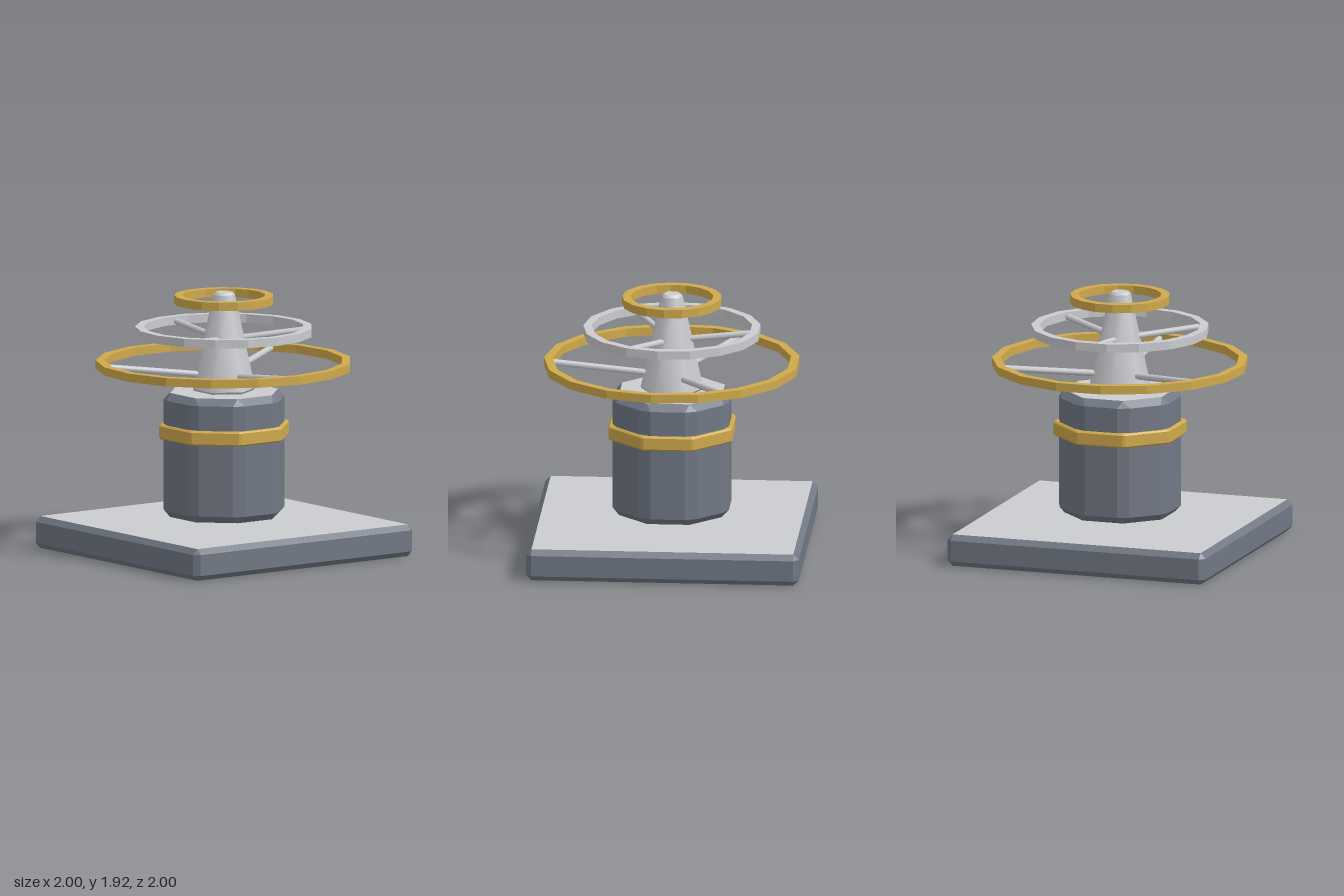
import * as THREE from 'three';
import { ConvexGeometry } from 'three/addons/geometries/ConvexGeometry.js';

const paint = (name, color) => {
  const m = new THREE.MeshStandardMaterial({ color });
  m.name = name;
  return m;
};

// Regular prism with every edge chamfered; group 0 is the sides, group 1 the flat caps
function bevelledPrism(sides, apothem, y0, y1, bevel) {
  const points = [];
  const half = apothem * Math.tan(Math.PI / sides) - bevel;
  const capRadius = (apothem - bevel) / Math.cos(Math.PI / sides);
  for (let i = 0; i < sides; i++) {
    const a = (i / sides) * Math.PI * 2;
    for (const [edgeY, capY] of [[y0 + bevel, y0], [y1 - bevel, y1]]) {
      for (const s of [-half, half]) {
        points.push(new THREE.Vector3(
          apothem * Math.cos(a) - s * Math.sin(a), edgeY,
          apothem * Math.sin(a) + s * Math.cos(a)));
      }
      const c = a + Math.PI / sides;
      points.push(new THREE.Vector3(capRadius * Math.cos(c), capY, capRadius * Math.sin(c)));
    }
  }
  const geometry = new ConvexGeometry(points);
  const normals = geometry.getAttribute('normal');
  for (let v = 0; v < normals.count; v += 3) {
    geometry.addGroup(v, 3, Math.abs(normals.getY(v)) > 0.99 ? 1 : 0);
  }
  return geometry;
}

// Flat faceted hoop with a square section
function hoop(radius, y0, y1, width = 0.062, sides = 17) {
  const polygon = (r) => Array.from({ length: sides }, (_, i) => {
    const a = (i / sides) * Math.PI * 2;
    return new THREE.Vector2(r * Math.cos(a), r * Math.sin(a));
  });
  const shape = new THREE.Shape(polygon(radius));
  shape.holes.push(new THREE.Path(polygon(radius - width)));
  return new THREE.ExtrudeGeometry(shape, { depth: y1 - y0, bevelEnabled: false })
    .rotateX(-Math.PI / 2).translate(0, y0, 0);
}

// Round bar between two points
function bar(from, to, radius) {
  const dir = to.clone().sub(from);
  const geometry = new THREE.CylinderGeometry(radius, radius, dir.length(), 8);
  geometry.applyQuaternion(new THREE.Quaternion().setFromUnitVectors(
    new THREE.Vector3(0, 1, 0), dir.normalize()));
  const mid = from.clone().add(to).multiplyScalar(0.5);
  return geometry.translate(mid.x, mid.y, mid.z);
}

export function createModel() {
  const silver = paint('silver', 0xcbccd0);
  const slate = paint('slate', 0x727985);
  const gold = paint('gold', 0xd0aa4c);

  const model = new THREE.Group();
  model.name = 'ringedSpire';
  const add = (name, geometry, material, parent = model) => {
    const mesh = new THREE.Mesh(geometry, material);
    mesh.name = name;
    parent.add(mesh);
  };

  // Plinth, drum and collar
  add('base', bevelledPrism(4, 1, 0, 0.235, 0.04), [slate, silver]);
  add('drum', bevelledPrism(8, 0.427, 0.275, 1.193, 0.05), [slate, silver]);
  add('collar', bevelledPrism(8, 0.454, 0.853, 0.96, 0.012), [gold, gold]);

  // Six-sided tapering spire with small chamfers at both ends
  const spire = new THREE.Group();
  spire.name = 'spire';
  model.add(spire);
  const tier = (name, rBottom, rTop, y0, y1, open) => add(name,
    new THREE.CylinderGeometry(rTop, rBottom, y1 - y0, 6, 1, open)
      .rotateY(Math.PI / 2).translate(0, (y0 + y1) / 2, 0), silver, spire);
  tier('spireFoot', 0.218, 0.23, 1.195, 1.21, false);
  tier('spireBody', 0.23, 0.08, 1.21, 1.907, true);
  tier('spireTip', 0.08, 0.064, 1.907, 1.925, false);

  // Hoops
  add('lowerRing', hoop(0.938, 1.358, 1.42), gold);
  add('middleRing', hoop(0.651, 1.608, 1.67), silver);
  add('upperRing', hoop(0.365, 1.84, 1.902), gold);

  // Three spokes for each of the two larger hoops
  const spokes = [
    { name: 'lowerSpoke', turn: 0, r0: 0.185, y0: 1.32, r1: 0.9, y1: 1.387 },
    { name: 'middleSpoke', turn: Math.PI / 3, r0: 0.13, y0: 1.585, r1: 0.61, y1: 1.637 },
  ];
  for (const { name, turn, r0, y0, r1, y1 } of spokes) {
    for (let i = 0; i < 3; i++) {
      const a = turn + (i * Math.PI * 2) / 3;
      const at = (r, y) => new THREE.Vector3(r * Math.cos(a), y, r * Math.sin(a));
      add(name, bar(at(r0, y0), at(r1, y1), 0.024), silver);
    }
  }
  return model;
}
